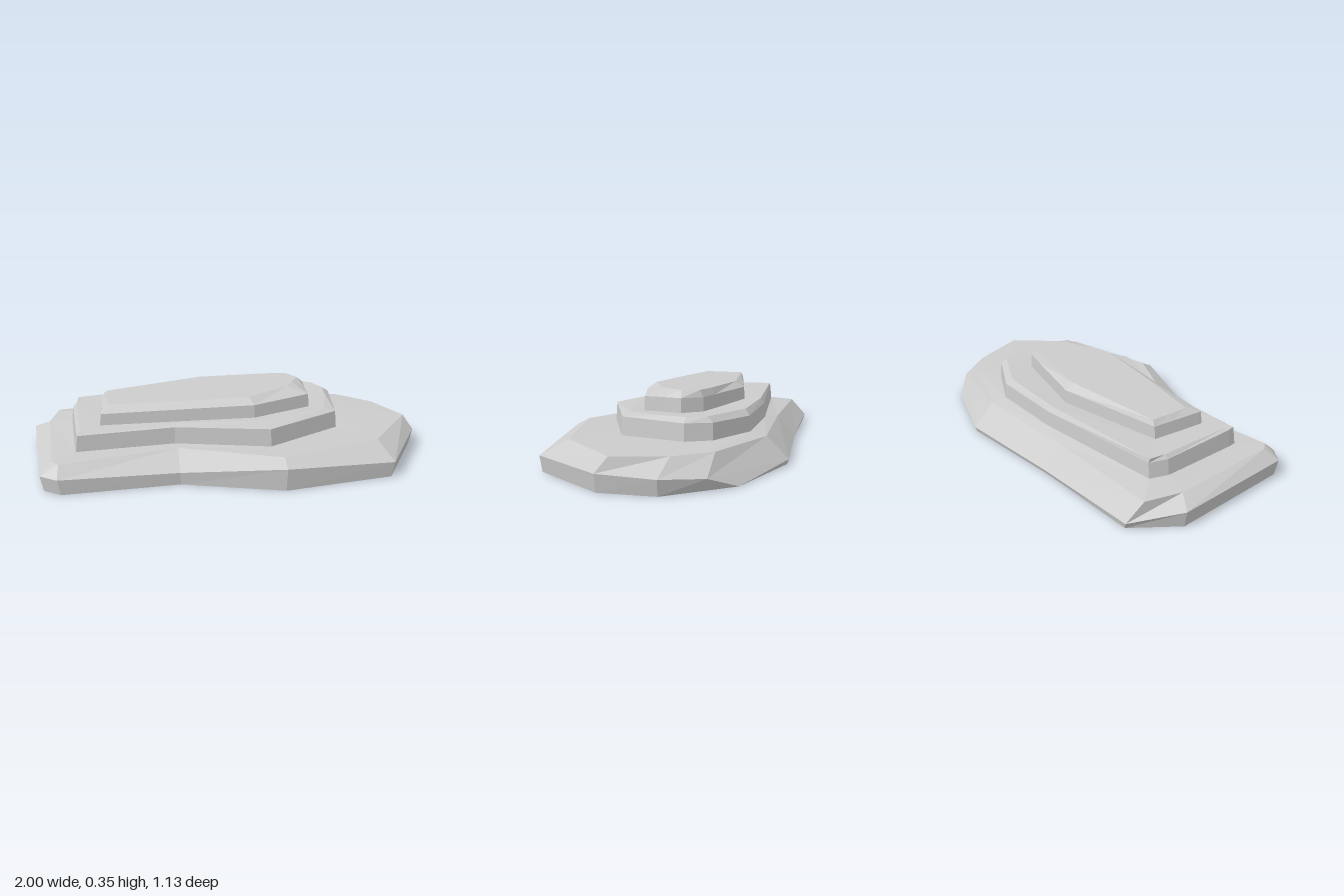
import * as THREE from 'three';

const material = new THREE.MeshStandardMaterial({ color: 0xcccccc, flatShading: true, side: THREE.DoubleSide });

// A ring is a flat x,z outline lifted to a gently sloping height
const ring = (outline, height, scale = 1) => {
  const points = [];
  for (let i = 0; i < outline.length; i += 2) {
    const x = outline[i] * scale, z = outline[i + 1] * scale;
    points.push(new THREE.Vector3(x, height(x, z, i / 2), z));
  }
  return points;
};

// Joins successive rings with faces, optionally closing the last one around a peak
function shelf(name, rings, peak) {
  const corners = [];
  const n = rings[0].length;
  for (let j = 0; j < n; j++) {
    const k = (j + 1) % n;
    for (let r = 0; r + 1 < rings.length; r++) {
      const lo = rings[r], hi = rings[r + 1];
      corners.push(lo[j], lo[k], hi[k], lo[j], hi[k], hi[j]);
    }
    if (peak) {
      const top = rings[rings.length - 1];
      corners.push(top[j], top[k], peak);
    }
  }
  const geometry = new THREE.BufferGeometry().setFromPoints(corners);
  geometry.computeVertexNormals();
  const mesh = new THREE.Mesh(geometry, material);
  mesh.name = name;
  return mesh;
}

// Outlines run from the front left corner, along the front, round the right and back
const baseSide = [-0.96, 0.34, -0.88, 0.40, -0.30, 0.40, 0.19, 0.565, 0.75, 0.515, 1, 0.15,
  0.99, -0.12, 0.87, -0.30, 0.31, -0.565, -0.27, -0.52, -0.85, -0.51, -1, -0.30];
const baseTop = [-0.90, 0.30, -0.87, 0.34, -0.29, 0.27, 0.19, 0.50, 0.70, 0.39, 0.96, 0.10,
  0.87, -0.14, 0.72, -0.30, 0.31, -0.455, -0.27, -0.425, -0.87, -0.425, -0.92, -0.25];
const middleFoot = [-0.79, 0.18, -0.785, 0.22, -0.30, 0.22, 0.16, 0.36, 0.55, 0.19, 0.585, 0.02,
  0.615, -0.13, 0.55, -0.25, 0.30, -0.375, -0.10, -0.38, -0.77, -0.31, -0.80, -0.22];
const middleTop = [-0.76, 0.17, -0.77, 0.21, -0.29, 0.19, 0.15, 0.25, 0.48, 0.17, 0.55, 0,
  0.57, -0.13, 0.53, -0.22, 0.27, -0.345, -0.11, -0.355, -0.76, -0.30, -0.77, -0.22];
const upperFoot = [-0.66, 0.10, -0.66, 0.12, -0.24, 0.165, 0.11, 0.205, 0.42, 0.12, 0.43, 0.02,
  0.445, -0.07, 0.37, -0.16, 0.25, -0.19, -0.10, -0.27, -0.64, -0.16, -0.65, -0.05];
const upperTop = [-0.615, 0.03, -0.61, 0.055, -0.23, 0.12, 0.09, 0.16, 0.32, 0.06, 0.36, 0,
  0.40, -0.06, 0.36, -0.14, 0.24, -0.17, -0.10, -0.22, -0.61, -0.15, -0.615, -0.05];
const sideHeights = [0.08, 0.08, 0.065, 0.115, 0.08, 0.085, 0.075, 0.06, 0.025, 0.02, 0.03, 0.08];

export function createModel() {
  const group = new THREE.Group();
  group.name = 'steppedRock';

  // Ground edge, undercut at the back right corner
  const ground = ring(baseSide, () => 0, 0.985);
  ground[7].set(0.74, 0, -0.41);

  const side = ring(baseSide, (x, z, i) => sideHeights[i]);
  const ledge1 = ring(baseTop, (x, z) => 0.137 + 0.013 * x + 0.02 * z);
  const foot2 = ring(middleFoot, (x) => 0.145 + 0.01 * x);
  const wall2 = ring(middleFoot, (x, z) => 0.227 + 0.015 * x + 0.02 * z, 0.985);
  const ledge2 = ring(middleTop, (x, z) => 0.243 + 0.022 * x - 0.01 * z);
  const foot3 = ring(upperFoot, (x) => 0.24 + 0.02 * x);
  const wall3 = ring(upperFoot, (x) => 0.305 + 0.03 * x, 0.985);
  const crown = ring(upperTop, (x) => 0.335 + 0.04 * x);

  group.add(
    shelf('lowerShelf', [ground, side, ledge1, foot2]),
    shelf('middleShelf', [foot2, wall2, ledge2, foot3]),
    shelf('upperShelf', [foot3, wall3, crown], new THREE.Vector3(0.1, 0.338, 0.03)),
  );
  return group;
}
